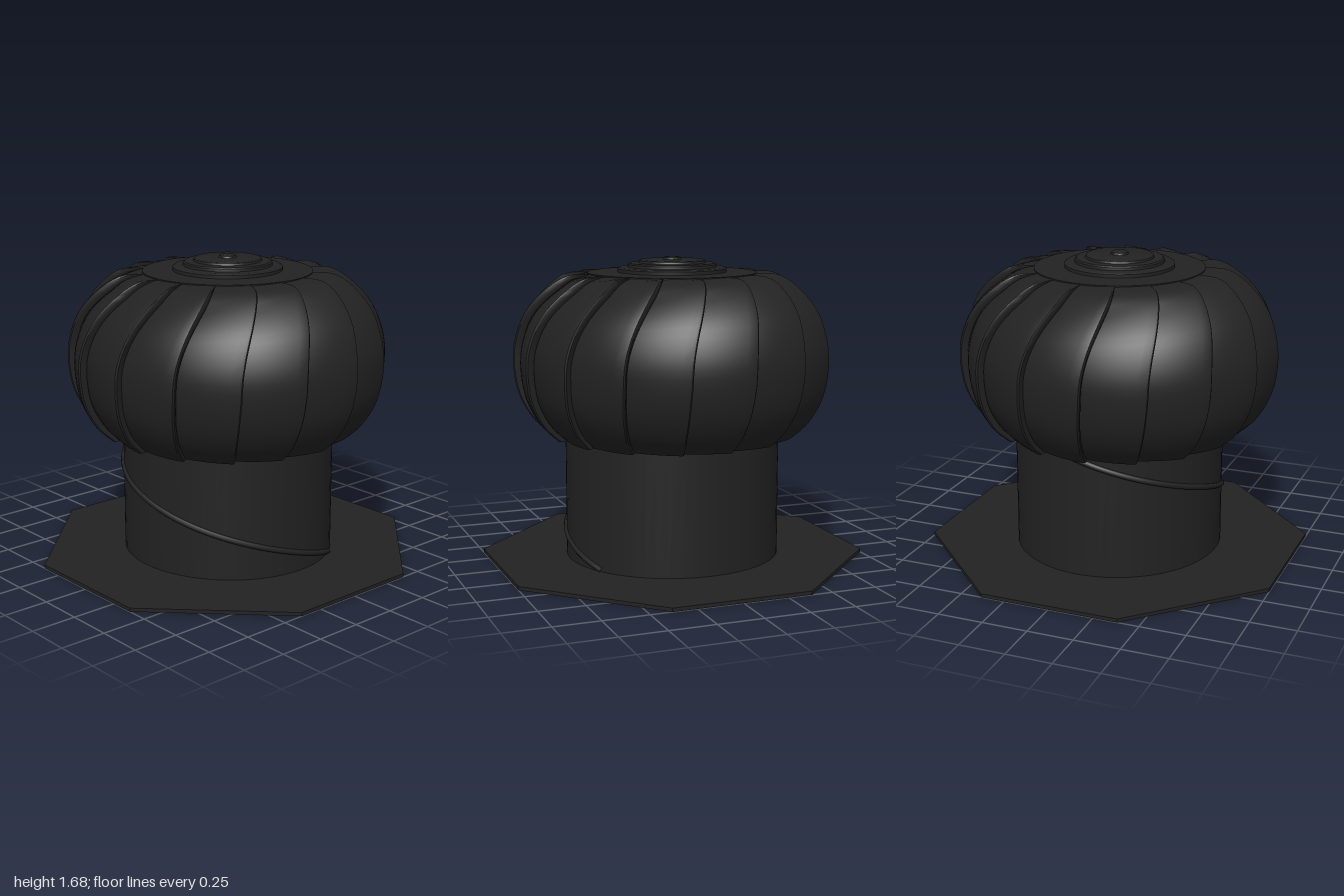
import * as THREE from 'three';
import { toCreasedNormals } from 'three/addons/utils/BufferGeometryUtils.js';

const BLADES = 16;
const PITCH = 22.5;

export function createModel() {
  const group = new THREE.Group();
  const mat = new THREE.MeshStandardMaterial({ color: 0x222222, side: THREE.DoubleSide });
  const add = (name, geo, parent = group) => {
    const mesh = new THREE.Mesh(geo, mat);
    mesh.name = name;
    parent.add(mesh);
    return mesh;
  };

  // octagonal base plate
  const c = 0.383;
  const corners = [[c, 1], [1, c], [1, -c], [c, -1], [-c, -1], [-1, -c], [-1, c], [-c, 1]];
  const plate = new THREE.Shape(corners.map(([x, y]) => new THREE.Vector2(x, y)));
  const plateGeo = new THREE.ExtrudeGeometry(plate, { depth: 0.02, bevelEnabled: false });
  plateGeo.rotateX(-Math.PI / 2);
  add('basePlate', plateGeo);

  // slightly oval throat pipe, open at the top
  const RX = 0.597, RZ = 0.577;
  const pipeGeo = new THREE.CylinderGeometry(1, 1, 0.73, 64, 1, true);
  pipeGeo.scale(RX, 1, RZ).translate(0, 0.385, 0);
  add('throatPipe', pipeGeo);

  // raised seam winding down around the pipe
  const seamPts = [];
  for (let i = 0; i <= 40; i++) {
    const a = -1.75 + (i / 40) * 3.85;
    seamPts.push(new THREE.Vector3(RX * Math.sin(a), 0.4 - 0.177 * a, RZ * Math.cos(a)));
  }
  add('spiralSeam', new THREE.TubeGeometry(new THREE.CatmullRomCurve3(seamPts), 120, 0.016, 8));

  // one curved turbine blade: a profile swept over a few angles, sinking inward
  const profile = new THREE.SplineCurve([
    [0.68, 0.70], [0.775, 0.79], [0.85, 0.93], [0.878, 1.1], [0.862, 1.25],
    [0.8, 1.4], [0.69, 1.52], [0.58, 1.583], [0.45, 1.588],
  ].map(([r, y]) => new THREE.Vector2(r, y)));
  const columns = [[0.3, 0.045], [0, 0.03], [0, 0.008], [0.5, 0], [1.4, 0]];
  for (let i = 1; i <= 8; i++) columns.push([1.4 + i * 2.9, i * 0.0065]);
  const ROWS = 28;
  const pos = [], index = [];
  columns.forEach(([deg, depth], j) => {
    for (let i = 0; i <= ROWS; i++) {
      const p = profile.getPoint(i / ROWS);
      const d = new THREE.Vector2(p.x - 0.45, Math.max(0, p.y - 1.1)).normalize();
      const fade = Math.min(1, (p.x - 0.45) / 0.2);
      const r = p.x - d.x * depth * fade;
      const y = p.y - d.y * depth * fade;
      // edges lean a little below the waist and swirl back toward the cap
      const k = p.y - 1.1;
      const swirl = k < 0 ? -k * 5 : -10 * (k / 0.49) ** 2;
      const a = THREE.MathUtils.degToRad(deg + swirl);
      pos.push(r * Math.cos(a), y, r * Math.sin(a));
      if (j && i < ROWS) {
        const q = j * (ROWS + 1) + i, o = q - ROWS - 1;
        index.push(o, o + 1, q, q, o + 1, q + 1);
      }
    }
  });
  let bladeGeo = new THREE.BufferGeometry();
  bladeGeo.setAttribute('position', new THREE.Float32BufferAttribute(pos, 3));
  bladeGeo.setIndex(index);
  bladeGeo = toCreasedNormals(bladeGeo, 0.7);
  const turbine = new THREE.Group();
  turbine.name = 'turbineHead';
  group.add(turbine);
  for (let n = 0; n < BLADES; n++) {
    const blade = add('blade', bladeGeo, turbine);
    blade.rotation.y = -THREE.MathUtils.degToRad(-8.5 + n * PITCH);
  }

  // stepped top cap with a small centre knob
  const cap = [
    [0, 1.575], [0.465, 1.575], [0.465, 1.592], [0.3, 1.594], [0.3, 1.612], [0.29, 1.619],
    [0.245, 1.621], [0.243, 1.635], [0.235, 1.642], [0.187, 1.644], [0.183, 1.655],
    [0.175, 1.66], [0.05, 1.661], [0.046, 1.671], [0.036, 1.676], [0, 1.677],
  ].map(([r, y]) => new THREE.Vector2(r, y));
  add('topCap', toCreasedNormals(new THREE.LatheGeometry(cap, 64), 0.6), turbine);

  return group;
}
